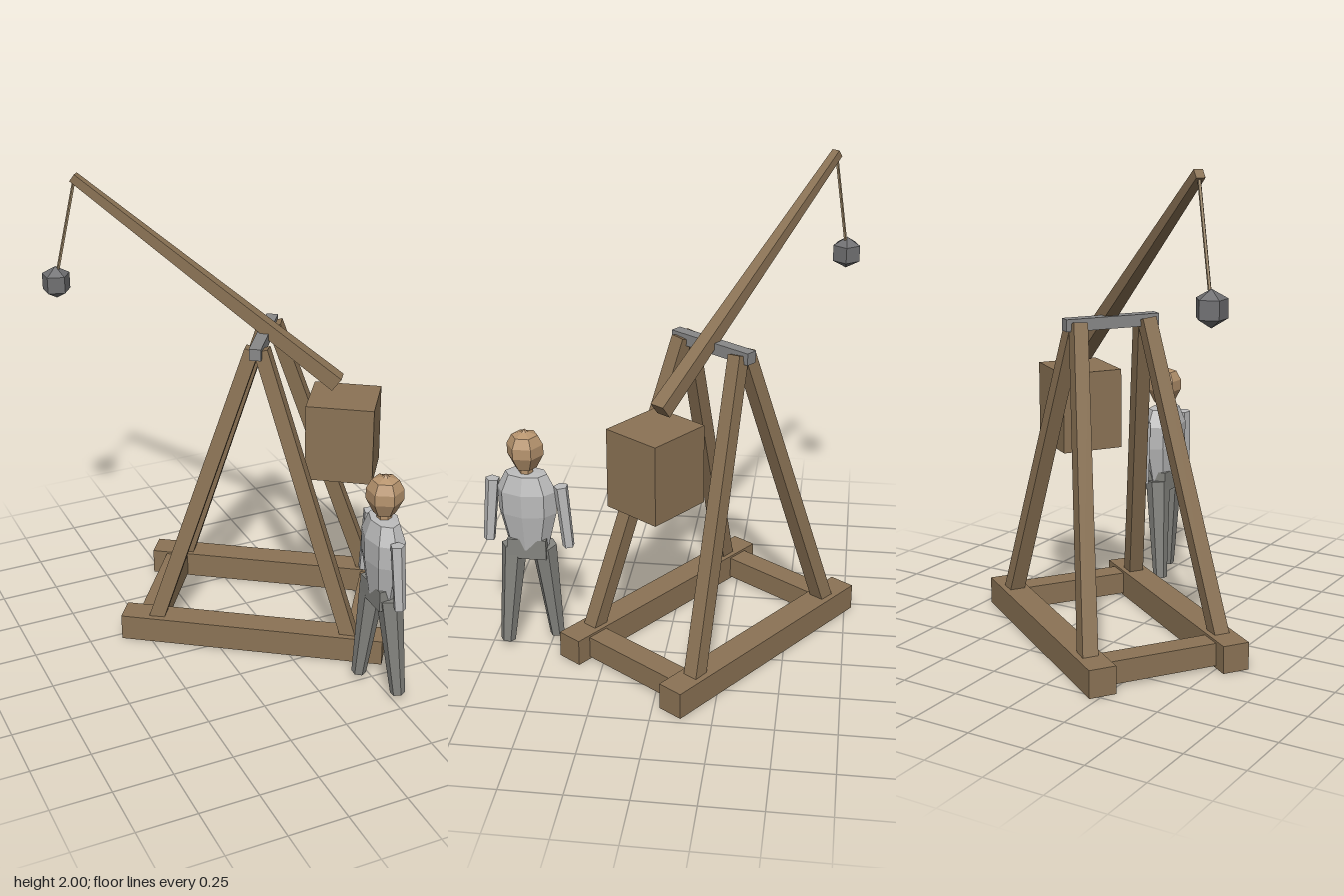
import * as THREE from 'three';

const mat = (name, color) => {
  const m = new THREE.MeshStandardMaterial({ color });
  m.name = name;
  return m;
};

// Faceted mesh: unshared corners give every face its own normal
function part(name, geometry, material, x = 0, y = 0, z = 0) {
  const g = geometry.index ? geometry.toNonIndexed() : geometry;
  g.computeVertexNormals();
  const mesh = new THREE.Mesh(g, material);
  mesh.name = name;
  mesh.position.set(x, y, z);
  return mesh;
}

// Tapered bar from a to b with the given radii; four sides make a squared timber
function bar(name, a, b, ra, rb, material, sides = 4) {
  const p = new THREE.Vector3(...a), q = new THREE.Vector3(...b);
  const g = new THREE.CylinderGeometry(rb, ra, p.distanceTo(q), sides);
  if (sides === 4) g.rotateY(Math.PI / 4);
  const up = q.clone().sub(p).normalize();
  const side = new THREE.Vector3().crossVectors(up, new THREE.Vector3(0, 0, 1)).normalize();
  const depth = new THREE.Vector3().crossVectors(side, up);
  g.applyMatrix4(new THREE.Matrix4().makeBasis(side, up, depth));
  const c = p.add(q).multiplyScalar(0.5);
  return part(name, g, material, c.x, c.y, c.z);
}

const lathe = (points, sides) =>
  new THREE.LatheGeometry(points.map(([r, y]) => new THREE.Vector2(r, y)), sides);

export function createModel() {
  const wood = mat('wood', 0x8b7355);
  const iron = mat('iron', 0x888888);
  const stone = mat('stone', 0x707072);
  const rope = mat('rope', 0xa08a6a);
  const shirt = mat('shirt', 0xbcbcbc);
  const trousers = mat('trousers', 0x858580);
  const skin = mat('skin', 0xb8956f);

  const model = new THREE.Group();
  model.name = 'trebuchetWithOperator';

  // Siege engine, turned on its base
  const engine = new THREE.Group();
  engine.name = 'trebuchet';
  engine.position.set(0.055, 0, -0.17);
  engine.rotation.y = -THREE.MathUtils.degToRad(35);
  model.add(engine);

  const half = Math.SQRT1_2; // width of a squared bar to its corner radius
  for (const s of [-1, 1]) {
    // Base frame
    engine.add(part('baseRail', new THREE.BoxGeometry(1.15, 0.115, 0.113), wood, 0, 0.0575, s * 0.287));
    engine.add(part('crossRail', new THREE.BoxGeometry(0.1, 0.095, 0.5), wood, s * 0.46, 0.0575, 0));
    // Inclined legs
    for (const t of [-1, 1]) {
      engine.add(bar('frameLeg', [t * 0.425, 0.1, s * 0.287], [t * 0.02, 1.345, s * 0.15],
        0.065 * half, 0.06 * half, wood));
    }
  }
  engine.add(part('axle', new THREE.BoxGeometry(0.05, 0.05, 0.404), iron, 0, 1.34, 0));

  // Throwing arm, counterweight and sling
  engine.add(bar('throwingArm', [0.315, 1.157, 0], [-0.79, 1.985, 0], 0.066 * half, 0.036 * half, wood));
  engine.add(part('counterweight', new THREE.BoxGeometry(0.287, 0.34, 0.263), wood, 0.343, 0.925, 0));
  engine.add(bar('slingRope', [-0.883, 1.56, 0], [-0.785, 1.975, 0], 0.007, 0.007, rope, 5));
  engine.add(part('slingStone', new THREE.SphereGeometry(0.07, 5, 3), stone, -0.89, 1.525, 0));

  // Operator
  const man = new THREE.Group();
  man.name = 'operator';
  man.position.set(0.235, 0, 0.58);
  model.add(man);

  const torso = lathe([[0, 0.47], [0.085, 0.475], [0.125, 0.64], [0.128, 0.74], [0.09, 0.815], [0, 0.82]], 8);
  torso.scale(0.63, 1, 1);
  torso.rotateY(-0.1);
  man.add(part('torso', torso, shirt));
  man.add(part('hips', new THREE.BoxGeometry(0.105, 0.09, 0.165), trousers, 0, 0.48, 0));
  man.add(part('neck', new THREE.CylinderGeometry(0.03, 0.03, 0.06, 6), skin, 0, 0.835, 0));
  const head = lathe([[0, 0.838], [0.045, 0.84], [0.076, 0.9], [0.076, 0.945], [0.055, 0.985], [0.016, 0.998], [0, 1.012]], 6);
  man.add(part('head', head, skin));

  for (const s of [-1, 1]) {
    man.add(bar('arm', [-s * 0.012, 0.49, s * 0.172], [-s * 0.02, 0.77, s * 0.148], 0.026, 0.031, shirt, 5));
    man.add(bar('leg', [s * 0.038, 0.03, s * 0.1], [s * 0.004, 0.48, s * 0.062], 0.031, 0.055, trousers, 6));
  }
  return model;
}
